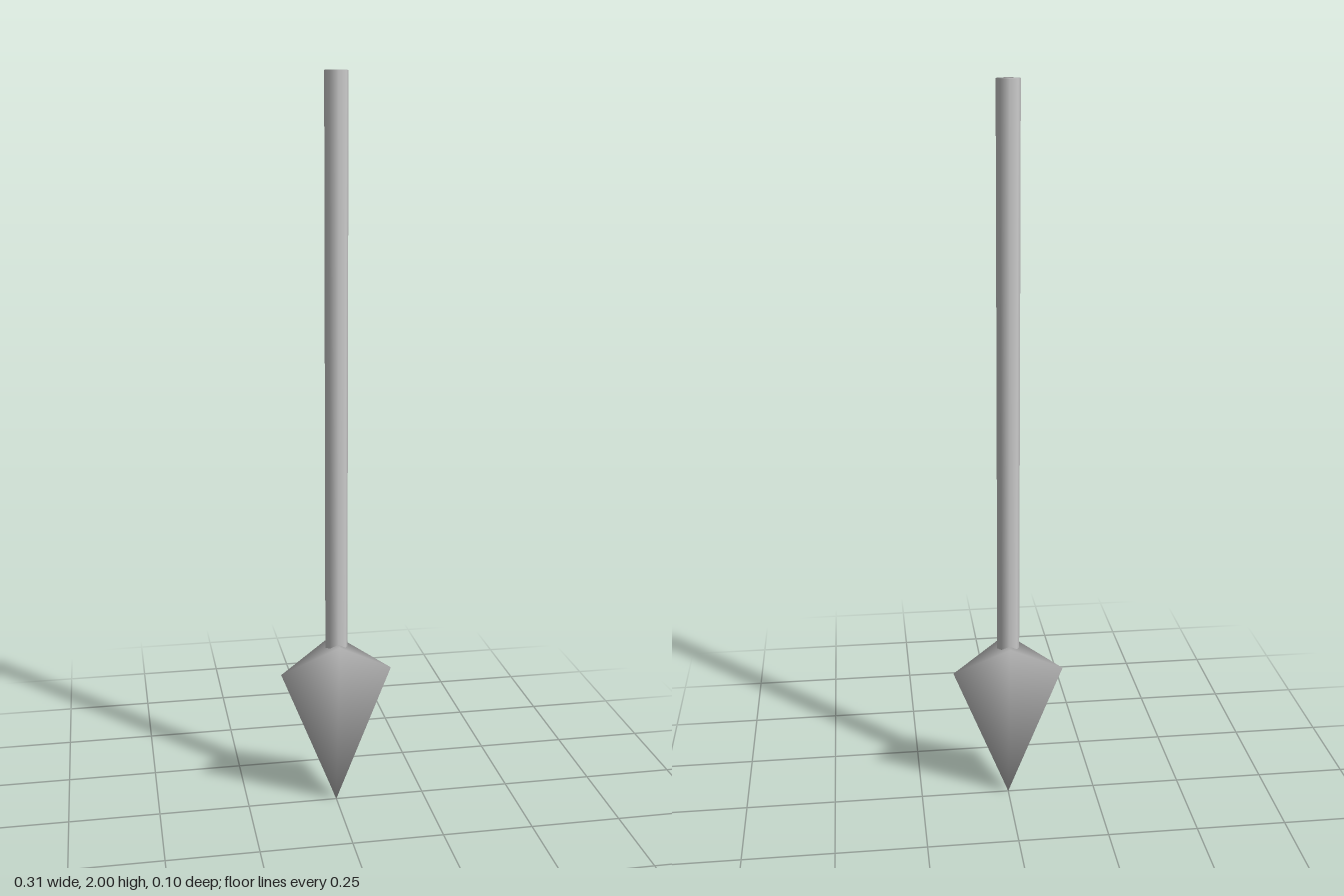
import * as THREE from 'three';

const material = new THREE.MeshStandardMaterial({ color: 0xcccccc });

// Eight-sided shaft with softly shaded ends, sunk into the head
function createShaft() {
  const radius = 0.031;
  const profile = [[0, 0.42], [radius, 0.42], [radius, 2], [0, 2]]
    .map(([r, y]) => new THREE.Vector2(r, y));
  const shaft = new THREE.Mesh(new THREE.LatheGeometry(profile, 8), material);
  shaft.name = 'shaft';
  return shaft;
}

// Faceted head: a diamond-shaped shoulder tapering to a point
function createHead() {
  const halfWidth = 0.155, halfDepth = 0.052;
  const ridgeY = 0.48, cornerY = 0.39;
  const positions = [
    0, ridgeY, halfDepth,
    halfWidth, cornerY, 0,
    0, ridgeY, -halfDepth,
    -halfWidth, cornerY, 0,
    0, 0, 0, // tip
  ];
  const indices = [0, 1, 2, 2, 3, 0]; // sloping shoulders
  for (let i = 0; i < 4; i++) indices.push(i, 4, (i + 1) % 4); // blade sides

  const geometry = new THREE.BufferGeometry();
  geometry.setAttribute('position', new THREE.Float32BufferAttribute(positions, 3));
  geometry.setIndex(indices);
  geometry.computeVertexNormals();
  const head = new THREE.Mesh(geometry, material);
  head.name = 'spearHead';
  return head;
}

export function createModel() {
  const spear = new THREE.Group();
  spear.name = 'spear';
  spear.add(createShaft(), createHead());
  return spear;
}
